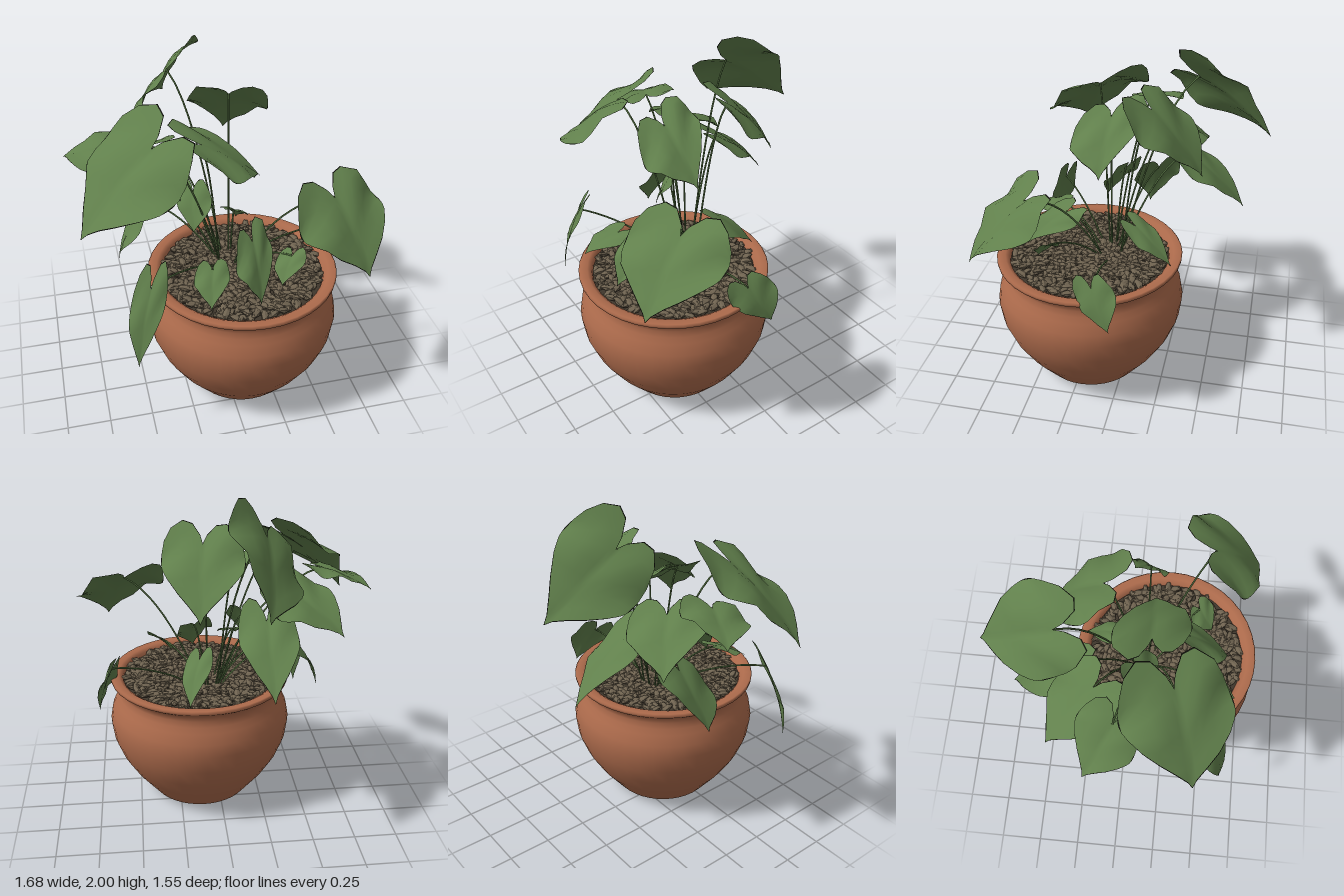
import * as THREE from 'three';
import { mergeGeometries } from 'three/addons/utils/BufferGeometryUtils.js';

const V = (a) => new THREE.Vector3(...a);
const CX = 0.11, CZ = 0.22; // pot axis

// Heart-shaped blade: columns across the width, rows along each column
const COLS = [0, 0.08, 0.28, 0.52, 0.78, 0.93, 0.98, 1];
const BACK = [0, -0.12, -0.27, -0.3, -0.18, 0, 0.13, 0.21];
const FRONT = [1, 0.92, 0.8, 0.67, 0.5, 0.38, 0.32, 0.26];
const ROWS = [0, 0.012, 0.18, 0.36, 0.52, 0.68, 0.84, 0.988, 1]; // thin first and last rows form the margin

function leafGeometry(base, tip, side) {
  const dir = tip.clone().sub(base);
  const normal = new THREE.Vector3().crossVectors(dir, side).normalize();
  if (normal.y < 0) { // keep the upper face on top
    normal.negate();
    side = side.clone().negate();
  }
  const len = dir.length(), wid = side.length();
  const n = COLS.length, stride = ROWS.length;
  const pos = [], blade = [], margin = [];
  for (let c = 1 - n; c < n; c++) {
    const k = Math.abs(c), w = Math.sign(c) * COLS[k];
    for (const r of ROWS) {
      const l = THREE.MathUtils.lerp(BACK[k], FRONT[k], r);
      // arched midrib, raised halves, drooping and wavy edges
      const lift = len * 0.2 * l * (1 - l) + wid * (0.22 * Math.abs(w) - 0.3 * w * w)
        + wid * 0.09 * Math.sin(l * 9 + w * 4) * Math.abs(w);
      const p = base.clone().addScaledVector(dir, l).addScaledVector(side, w).addScaledVector(normal, lift);
      pos.push(p.x, p.y, p.z);
    }
  }
  const colCount = 2 * n - 2, rowCount = stride - 1;
  for (let c = 0; c < colCount; c++) {
    for (let r = 0; r < rowCount; r++) {
      const a = c * stride + r, b = a + stride;
      const rim = c === 0 || c === colCount - 1 || r === 0 || r === rowCount - 1;
      (rim ? margin : blade).push(a, a + 1, b, b, a + 1, b + 1);
    }
  }
  const g = new THREE.BufferGeometry();
  g.setAttribute('position', new THREE.Float32BufferAttribute(pos, 3));
  g.setIndex([...blade, ...margin]);
  g.addGroup(0, blade.length, 0);
  g.addGroup(blade.length, margin.length, 1);
  g.computeVertexNormals();
  return g;
}

// Each leaf: stalk joint, tip, half-width vector
const LEAVES = [
  [[-0.2, 1.81, -0.35], [-0.16, 1.5, -0.77], [0.19, 0.18, -0.06]],
  [[0.11, 1.72, -0.14], [0.15, 1.37, -0.43], [0.22, 0, 0.08]],
  [[-0.36, 1.45, -0.15], [-0.63, 1.25, -0.39], [-0.15, 0.03, 0.15]],
  [[-0.39, 1.65, 0.26], [-0.8, 1.25, 0.41], [0.12, -0.08, 0.28]],
  [[-0.57, 1.53, -0.03], [-0.83, 1.43, -0.16], [0.09, 0.04, -0.15]],
  [[-0.11, 1.57, 0.13], [0.23, 1.33, 0.13], [0.07, -0.06, 0.21]],
  [[0.55, 1.34, 0.45], [0.67, 1.0, 0.74], [0.26, 0, -0.13]],
  [[0.13, 1.05, 0.35], [0.12, 0.8, 0.6], [0.12, 0.01, -0.1]],
  [[-0.14, 1.24, 0.05], [-0.16, 1.03, 0.17], [0.09, 0, 0.07]],
  [[-0.12, 0.97, 0.45], [-0.17, 0.86, 0.65], [0.1, 0, 0]],
  [[0.35, 0.95, 0.4], [0.27, 0.82, 0.49], [0.07, 0.02, 0.05]],
  [[0.64, 0.9, 0.08], [0.72, 0.68, -0.03], [-0.03, -0.04, 0.12]],
  [[-0.47, 0.96, 0.52], [-0.57, 0.5, 0.61], [0.09, 0.03, 0.04]],
  [[-0.22, 1.33, -0.3], [-0.22, 1.0, -0.65], [0.16, 0, 0.03]],
  [[-0.41, 1.12, -0.1], [-0.58, 0.78, -0.02], [0.04, 0.07, -0.15]],
  [[0.13, 1.0, -0.06], [0.2, 0.8, -0.28], [0.08, -0.02, 0.03]],
];

function stemGeometry(root, end) {
  const bend = root.clone().lerp(end, 0.5);
  bend.y = THREE.MathUtils.lerp(root.y, end.y, 0.85) + 0.03;
  const curve = new THREE.QuadraticBezierCurve3(root, bend, end);
  return new THREE.TubeGeometry(curve, 12, 0.0055, 5);
}

// Small seeded generator for the pebbles
function seeded(seed) {
  return () => {
    seed = (seed * 16807) % 2147483647;
    return seed / 2147483647;
  };
}

function pebbleGeometry() {
  const rnd = seeded(77);
  const parts = [];
  const count = 620;
  const q = new THREE.Quaternion(), m = new THREE.Matrix4();
  for (let i = 0; i < count; i++) {
    // sunflower spread with jitter
    const r = 0.455 * Math.sqrt((i + 0.5) / count), a = i * 2.39996 + (rnd() - 0.5) * 0.1;
    q.setFromEuler(new THREE.Euler((rnd() - 0.5) * 0.7, rnd() * 6.28, (rnd() - 0.5) * 0.7));
    const size = 0.9 + rnd() * 0.4;
    m.compose(
      new THREE.Vector3(r * Math.cos(a), 0.768 + rnd() * 0.015, r * Math.sin(a)), q,
      new THREE.Vector3(0.036, 0.014, 0.018).multiplyScalar(size));
    parts.push(new THREE.IcosahedronGeometry(1, 0).applyMatrix4(m));
  }
  return mergeGeometries(parts);
}

export function createModel() {
  const material = (name, color, extra = {}) => {
    const m = new THREE.MeshStandardMaterial({ color, ...extra });
    m.name = name;
    return m;
  };
  const terracotta = material('terracotta', 0xad6b4c);
  const soilBrown = material('soil', 0x3f372c);
  const pebbleBrown = material('pebble', 0x6f6350, { flatShading: true });
  const leafGreen = material('leaf green', 0x61804c, { side: THREE.DoubleSide });
  const marginDark = material('leaf margin', 0x14170f, { side: THREE.DoubleSide });
  const stemGreen = material('stem green', 0x536f40);

  const model = new THREE.Group();
  model.name = 'pottedPlant';
  const add = (parent, name, geometry, mat) => {
    const mesh = new THREE.Mesh(geometry, mat);
    mesh.name = name;
    parent.add(mesh);
    return mesh;
  };

  // Pot with bulging body, narrow neck and flared rim
  const pot = new THREE.Group();
  pot.name = 'pot';
  pot.position.set(CX, 0, CZ);
  model.add(pot);
  const profile = [
    [0, 0], [0.29, 0], [0.31, 0.006], [0.36, 0.07], [0.43, 0.16], [0.5, 0.275], [0.545, 0.39],
    [0.56, 0.5], [0.547, 0.575], [0.52, 0.635], [0.502, 0.67], [0.492, 0.705], [0.498, 0.74],
    [0.53, 0.762], [0.548, 0.775], [0.55, 0.79], [0.542, 0.798], [0.5, 0.796], [0.475, 0.78], [0.465, 0.74],
  ].map(([x, y]) => new THREE.Vector2(x, y));
  add(pot, 'potBody', new THREE.LatheGeometry(profile, 40), terracotta);
  const soil = add(pot, 'soil', new THREE.CircleGeometry(0.47, 40), soilBrown);
  soil.rotation.x = -Math.PI / 2;
  soil.position.y = 0.76;
  add(pot, 'pebbles', pebbleGeometry(), pebbleBrown);

  // Leaves on arching stems that spring from one clump
  LEAVES.forEach(([b, t, s], i) => {
    const base = V(b);
    const plant = new THREE.Group();
    plant.name = 'leafAndStem' + (i + 1);
    const a = Math.atan2(base.z - 0.1, base.x - 0.06);
    const root = new THREE.Vector3(0.06 + 0.06 * Math.cos(a), 0.74, 0.1 + 0.06 * Math.sin(a));
    add(plant, 'leaf', leafGeometry(base, V(t), V(s)), [leafGreen, marginDark]);
    add(plant, 'stem', stemGeometry(root, base), stemGreen);
    model.add(plant);
  });
  return model;
}
